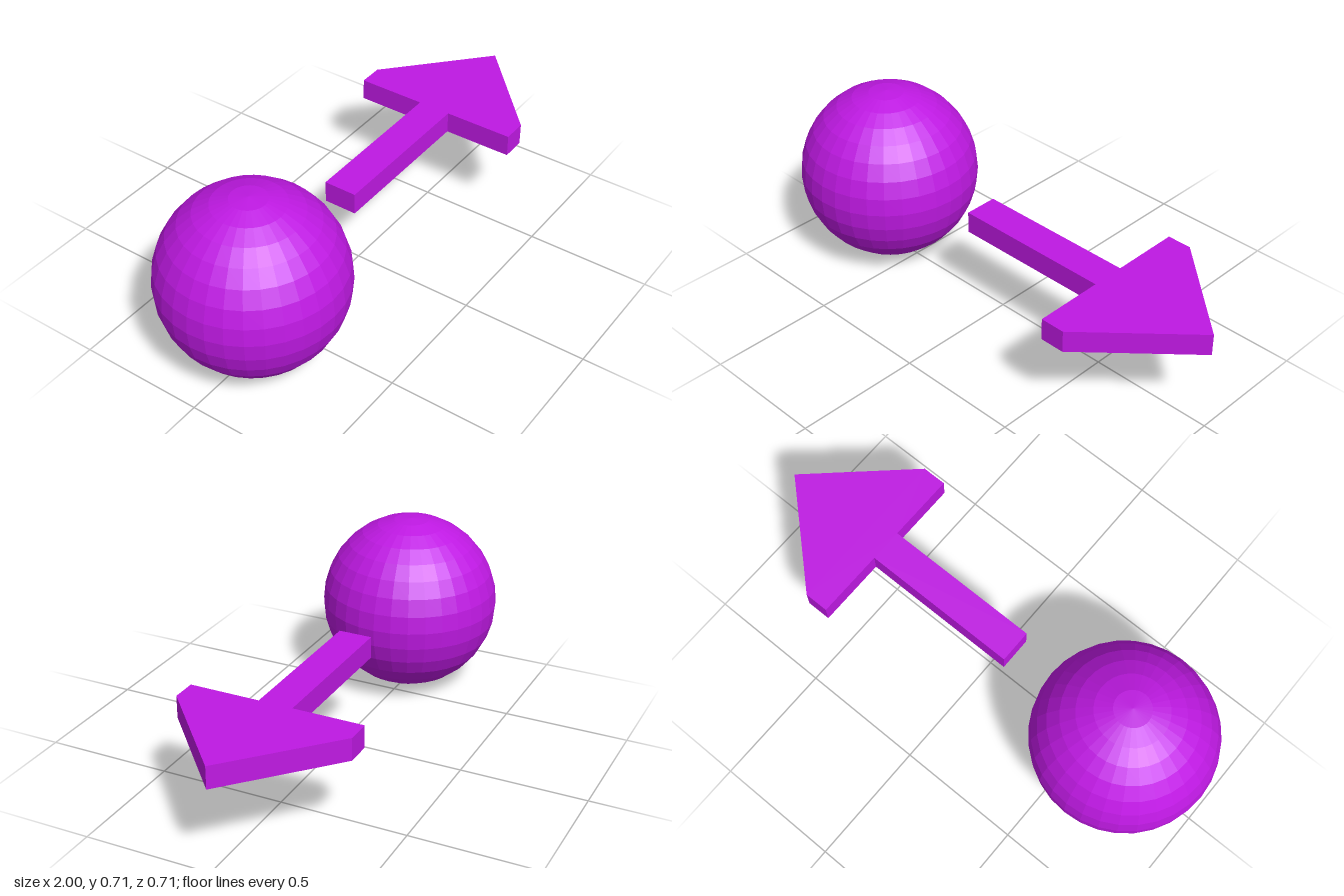
import * as THREE from 'three';

export function createModel() {
  const model = new THREE.Group();
  const material = new THREE.MeshStandardMaterial({ color: 0xbf19e3, flatShading: true });

  // Faceted ball
  const radius = 0.357;
  const ball = new THREE.Mesh(new THREE.SphereGeometry(radius, 32, 16), material);
  ball.name = 'ball';
  ball.position.set(-1 + radius, radius, 0);
  model.add(ball);

  // Flat arrow pointing to +x: half outline, mirrored across its axis
  const half = [[-0.12, 0.067], [0.525, 0.067], [0.525, 0.345], [0.623, 0.345]];
  const outline = [
    ...half.map(([x, z]) => new THREE.Vector2(x, -z)),
    new THREE.Vector2(1, 0),
    ...half.map(([x, z]) => new THREE.Vector2(x, z)).reverse(),
  ];
  const arrowGeometry = new THREE.ExtrudeGeometry(new THREE.Shape(outline), {
    depth: 0.088,
    bevelEnabled: false,
  });
  arrowGeometry.rotateX(-Math.PI / 2);
  const arrow = new THREE.Mesh(arrowGeometry, material);
  arrow.name = 'arrow';
  arrow.position.y = 0.326;
  model.add(arrow);

  return model;
}
